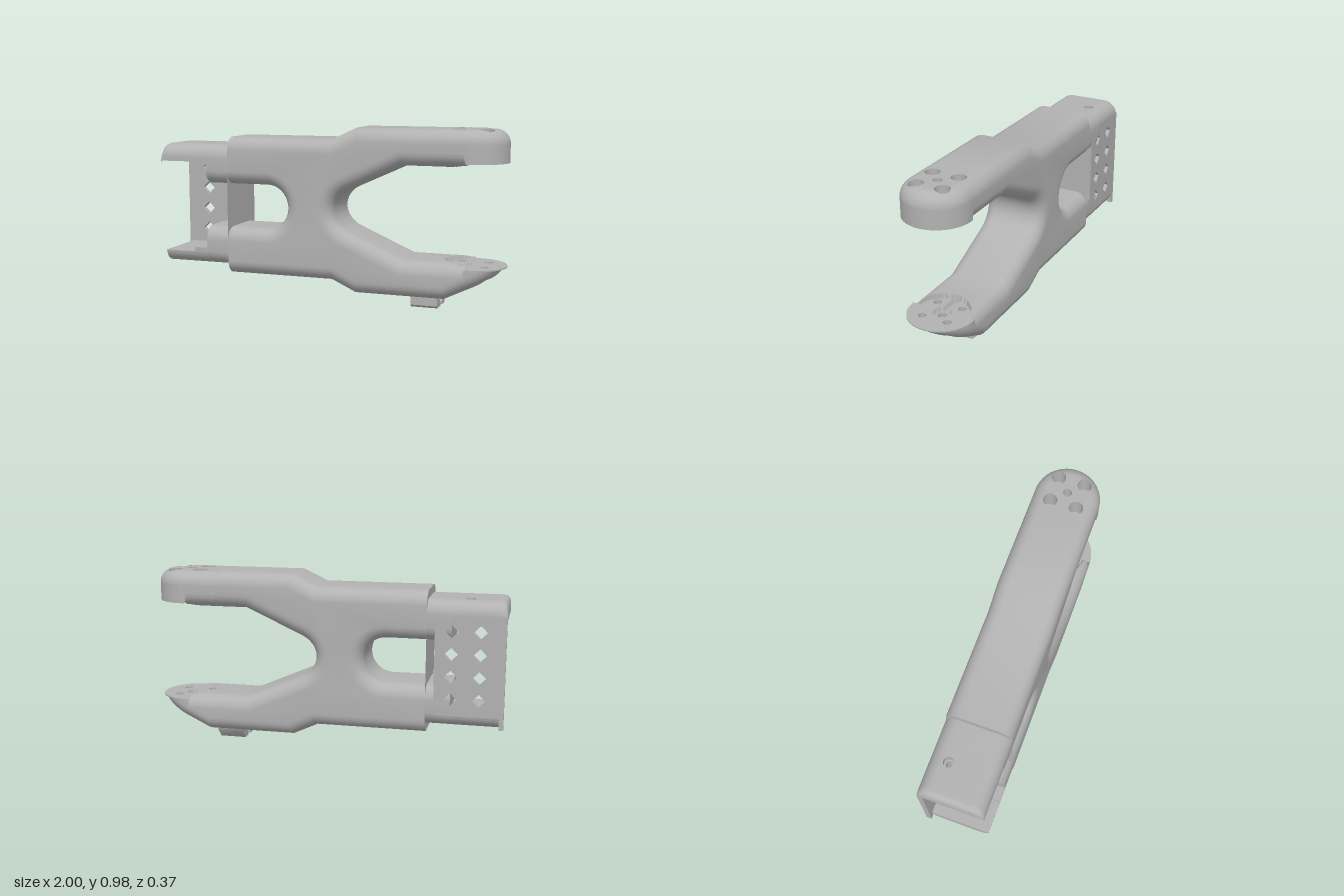
import * as THREE from 'three';
import { toCreasedNormals } from 'three/addons/utils/BufferGeometryUtils.js';

const HALF = 0.185, FILLET = 0.078, TIP = 0.815;

export function createModel() {
  const group = new THREE.Group();
  const grey = new THREE.MeshStandardMaterial({ color: 0xb2b2b2, side: THREE.DoubleSide });
  grey.name = 'plain grey';

  const add = (name, geometry, crease = 0.6) => {
    const mesh = new THREE.Mesh(toCreasedNormals(geometry, crease), grey);
    mesh.name = name;
    group.add(mesh);
    return mesh;
  };

  // Side outline extruded across z with rounded edges, cut flat at two x planes
  const roundedSlab = (name, shape, xMin, xMax) => {
    const geo = new THREE.ExtrudeGeometry(shape, {
      depth: 2 * (HALF - FILLET), curveSegments: 18, bevelEnabled: true, bevelSegments: 8,
      bevelThickness: FILLET, bevelSize: FILLET, bevelOffset: -FILLET,
    });
    geo.translate(0, 0, FILLET - HALF);
    const p = geo.attributes.position;
    for (let i = 0; i < p.count; i++) p.setX(i, THREE.MathUtils.clamp(p.getX(i), xMin, xMax));
    add(name, geo, 0.5);
  };

  // Outline of the rear slot, drawn from its top lip to its bottom lip
  const slot = (s) => {
    s.lineTo(-0.9, 0.65);
    s.lineTo(-0.35, 0.65);
    s.absarc(-0.35, 0.525, 0.125, Math.PI / 2, -Math.PI / 2, true);
    s.lineTo(-0.9, 0.4);
  };

  // Forked body
  const body = new THREE.Shape();
  body.moveTo(0.9, 0.985);
  [[0.18, 0.985], [0.04, 0.92], [-0.9, 0.92]].forEach((q) => body.lineTo(...q));
  slot(body);
  [[-0.9, 0.13], [0.04, 0.13], [0.18, 0.065], [0.9, 0.065], [0.9, 0.27], [0.45, 0.27], [0.13, 0.41]]
    .forEach((q) => body.lineTo(...q));
  body.bezierCurveTo(0.02, 0.46, 0.02, 0.59, 0.13, 0.64);
  body.lineTo(0.45, 0.785);
  body.lineTo(0.9, 0.785);
  roundedSlab('forkedBody', body, -0.575, 0.62);

  // Narrower tongue behind the step
  const tongue = new THREE.Shape();
  tongue.moveTo(0, 0.875);
  tongue.lineTo(-0.9, 0.875);
  slot(tongue);
  tongue.lineTo(-0.9, 0.18);
  tongue.lineTo(0, 0.18);
  roundedSlab('rearTongue', tongue, -0.71, -0.575);

  // Solid between two height rules, with round vertical holes [x, z, topRadius, bottomRadius, shelfY]
  const block = (name, x0, limit, top, bottom, holes) => {
    const N = 56, M = 56, W = N + 1, pos = [], index = [];
    [[top, 2], [bottom, 3]].forEach(([height, r], layer) => {
      const inHole = [];
      for (let j = 0; j <= M; j++) for (let i = 0; i <= N; i++) {
        let z = -HALF * Math.cos(Math.PI * j / M);
        let x = x0 + (limit(z) - x0) * Math.sin(Math.PI / 2 * i / N);
        const h = holes.findIndex((o) => Math.hypot(x - o[0], z - o[1]) < o[r]);
        if (h >= 0) {
          const o = holes[h], a = Math.atan2(z - o[1], x - o[0]);
          x = o[0] + o[r] * Math.cos(a);
          z = o[1] + o[r] * Math.sin(a);
        }
        inHole.push(h);
        pos.push(x, height(x, z), z);
      }
      const base = layer * W * (M + 1);
      const tri = (a, b, c) => {
        if (inHole[a] >= 0 && inHole[a] === inHole[b] && inHole[b] === inHole[c]) return;
        if (layer === 0) index.push(a, b, c);
        else index.push(base + a, base + c, base + b);
      };
      for (let j = 0; j < M; j++) for (let i = 0; i < N; i++) {
        const a = j * W + i;
        tri(a, a + W, a + 1);
        tri(a + 1, a + W, a + W + 1);
      }
    });
    // Wall around the rim
    const rim = [];
    for (let i = 0; i < N; i++) rim.push(i);
    for (let j = 0; j < M; j++) rim.push(j * W + N);
    for (let i = N; i > 0; i--) rim.push(M * W + i);
    for (let j = M; j > 0; j--) rim.push(j * W);
    rim.forEach((a, k) => {
      const b = rim[(k + 1) % rim.length], d = W * (M + 1);
      index.push(a, b, a + d, b, b + d, a + d);
    });
    const geo = new THREE.BufferGeometry();
    geo.setAttribute('position', new THREE.Float32BufferAttribute(pos, 3));
    geo.setIndex(index);
    add(name, geo);

    // Bore walls, with ends fitted to the surfaces
    holes.forEach(([hx, hz, rt, rb, shelf]) => {
      const profile = [[rt, 1], [rt, shelf], [rb, shelf], [rb, 0]].map((q) => new THREE.Vector2(...q));
      const bore = new THREE.LatheGeometry(profile, 24);
      bore.translate(hx, 0, hz);
      const p = bore.attributes.position;
      for (let i = 0; i < p.count; i++) {
        const x = p.getX(i), z = p.getZ(i);
        if (i % 4 === 0) p.setY(i, top(x, z));
        if (i % 4 === 3) p.setY(i, bottom(x, z));
      }
      add(name + 'Bore', bore);
    });
  };

  // Height lost to a fillet at distance d from the rim
  const drop = (d) => {
    const k = FILLET - THREE.MathUtils.clamp(d, 0, FILLET);
    return FILLET - Math.sqrt(Math.max(0, FILLET * FILLET - k * k));
  };
  const rimDistance = (x, z) => HALF - (x > TIP ? Math.hypot(x - TIP, z) : Math.abs(z));
  const tipLimit = (z) => TIP + Math.sqrt(Math.max(0, HALF * HALF - z * z));

  // Mounting pad: a flat disc with a cable groove; returns depth below the pad, or null outside it
  const pad = (x, z) => {
    const r = Math.hypot(x - TIP, z);
    if (x < 0.8 && r > 0.145) return null;
    return r < 0.045 || (Math.abs(z) < 0.02 && x < TIP) ? 0.02 : 0;
  };
  const boltHoles = (rt, rb, shelf) => {
    const list = [[TIP, 0, 0.025, 0.025, shelf]];
    for (const x of [0.74, 0.89]) for (const z of [-0.075, 0.075]) list.push([x, z, rt, rb, shelf]);
    return list;
  };

  block('upperTip', 0.62, tipLimit,
    (x, z) => 0.985 - drop(rimDistance(x, z)),
    (x, z) => {
      const g = pad(x, z);
      return g === null ? 0.785 + drop(HALF - Math.abs(z)) : 0.805 + g;
    },
    boltHoles(0.04, 0.023, 0.87));

  block('lowerTip', 0.62, tipLimit,
    (x, z) => {
      const g = pad(x, z);
      return g === null ? 0.27 - drop(HALF - Math.abs(z)) : 0.245 - g;
    },
    (x, z) => Math.min(0.238, 0.065 + Math.max(0, x - 0.68) * 0.483 + drop(rimDistance(x, z)),
      pad(x, z) === null ? 0.185 : 1),
    boltHoles(0.023, 0.04, 0.215));

  // Rear channel: roof and floor
  const channelEnd = () => -0.71;
  block('channelRoof', -1, channelEnd,
    (x, z) => 0.875 - drop(HALF - Math.abs(z)) - Math.max(0, drop((x + 1) * 2) * 0.4),
    () => 0.775,
    [[-0.8, -0.08, 0.028, 0.018, 0.82]]);
  const floorTop = (x) => (x < -0.79 ? 0.25 : 0.275);
  block('channelFloor', -0.975, channelEnd, floorTop,
    (x, z) => Math.min(floorTop(x) - 0.005, 0.18 + drop(HALF - Math.abs(z))),
    [[-0.8, -0.08, 0.018, 0.028, 0.22]]);

  // Back plate with diamond holes
  const plate = new THREE.Shape();
  [[-1, 0.245], [-0.62, 0.245], [-0.62, 0.797], [-1, 0.797]]
    .forEach((q, i) => (i ? plate.lineTo(...q) : plate.moveTo(...q)));
  for (const x of [-0.865, -0.71]) for (const y of [0.335, 0.46, 0.585, 0.71]) {
    const d = new THREE.Path();
    d.moveTo(x + 0.038, y);
    d.lineTo(x, y + 0.038);
    d.lineTo(x - 0.038, y);
    d.lineTo(x, y - 0.038);
    d.closePath();
    plate.holes.push(d);
  }
  add('backPlate', new THREE.ExtrudeGeometry(plate, { depth: 0.03, bevelEnabled: false }))
    .position.z = -HALF;
  add('plateFoot', new THREE.BoxGeometry(0.025, 0.08, 0.03)).position.set(-0.9875, 0.22, -0.17);

  // Cable clip hooks under the lower arm
  const hooks = [
    [[0.1, 0.075], [0.1, 0.015], [0.09, 0.003], [0.02, 0.003], [0.02, 0.02], [0.042, 0.042], [0.042, 0.075]],
    [[-0.125, 0.075], [-0.12, 0.055], [-0.07, 0.003], [-0.015, 0.003], [-0.015, 0.02], [-0.036, 0.042], [-0.036, 0.075]],
  ];
  hooks.forEach((points) => {
    const shape = new THREE.Shape(points.map(([z, y]) => new THREE.Vector2(-z, y)));
    const geo = new THREE.ExtrudeGeometry(shape, { depth: 0.15, bevelEnabled: false });
    geo.rotateY(Math.PI / 2);
    add('clipHook', geo).position.x = 0.49;
  });

  return group;
}
